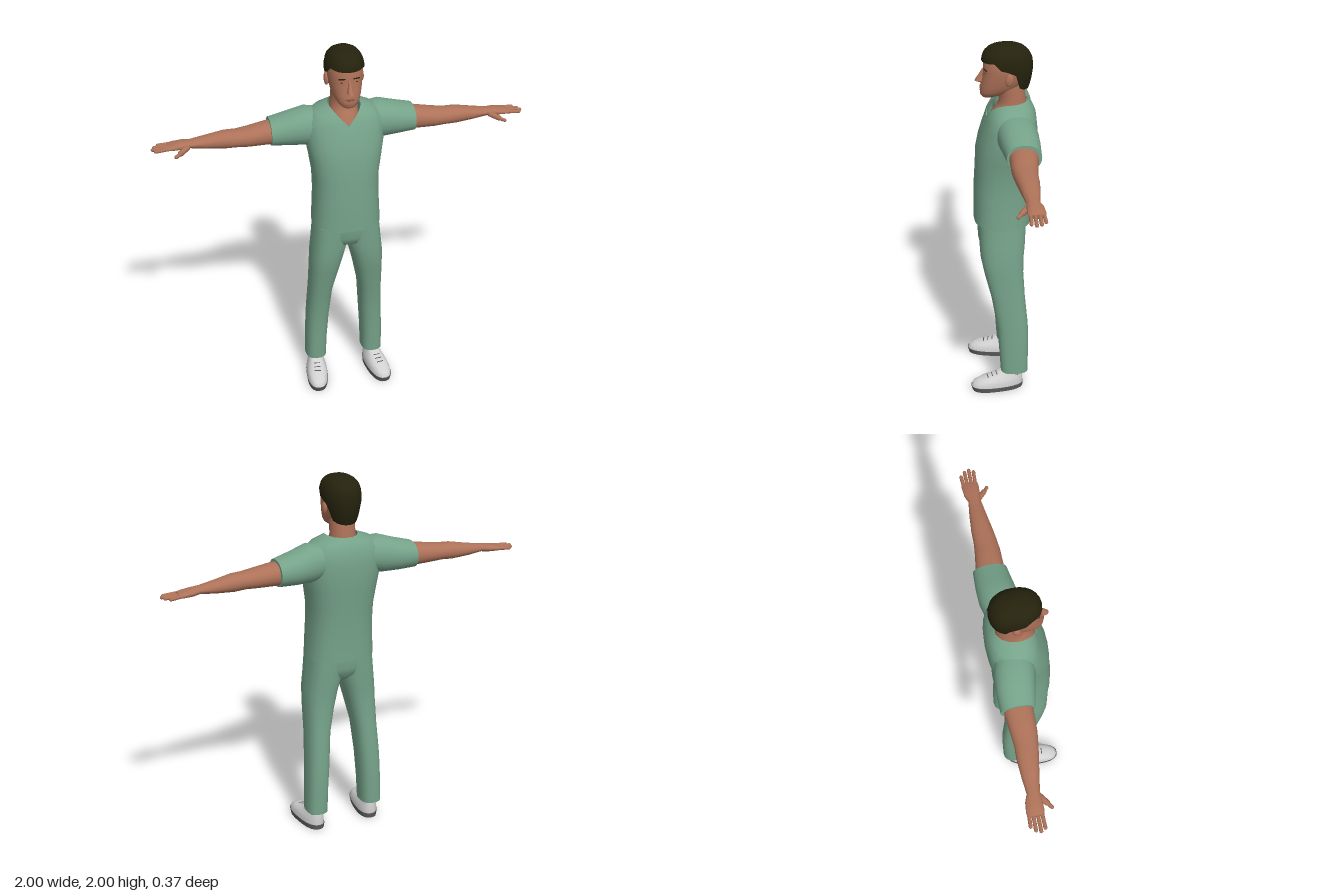
import * as THREE from 'three';
import { toCreasedNormals } from 'three/addons/utils/BufferGeometryUtils.js';

const SEG = 24;
const V = (x, y, z) => new THREE.Vector3(x, y, z);

function material(name, color, side = THREE.FrontSide) {
  const m = new THREE.MeshStandardMaterial({ color, side });
  m.name = name;
  return m;
}

// Skin a list of closed rings, with optional end caps
function loft(rings, capStart = true, capEnd = true) {
  const n = rings[0].length, pos = [], idx = [];
  rings.forEach(r => r.forEach(p => pos.push(p.x, p.y, p.z)));
  for (let k = 0; k < rings.length - 1; k++) {
    for (let i = 0; i < n; i++) {
      const a = k * n + i, b = k * n + (i + 1) % n;
      idx.push(a, a + n, b, b, a + n, b + n);
    }
  }
  const cap = (k, flip) => {
    const c = V(0, 0, 0);
    rings[k].forEach(p => c.addScaledVector(p, 1 / n));
    const centre = pos.length / 3;
    pos.push(c.x, c.y, c.z);
    for (let i = 0; i < n; i++) {
      const a = k * n + i, b = k * n + (i + 1) % n;
      if (flip) idx.push(centre, a, b); else idx.push(centre, b, a);
    }
  };
  if (capStart) cap(0, true);
  if (capEnd) cap(rings.length - 1, false);
  const g = new THREE.BufferGeometry();
  g.setAttribute('position', new THREE.Float32BufferAttribute(pos, 3));
  g.setIndex(idx);
  return toCreasedNormals(g, 0.75);
}

// Rounded-square unit outline
function outline(n, fn) {
  const f = v => Math.sign(v) * Math.pow(Math.abs(v), 2 / n);
  return Array.from({ length: SEG }, (_, i) => {
    const a = (i / SEG) * Math.PI * 2;
    return fn(f(Math.cos(a)), f(Math.sin(a)));
  });
}

// Horizontal ring; dip lowers the front into a V
const level = (y, x0, x1, zf, zb, n = 2.4, dip = 0) => outline(n, (c, s) =>
  V((x0 + x1) / 2 + c * (x1 - x0) / 2, y - (s > 0 ? dip * (1 - Math.abs(c)) : 0), (zf + zb) / 2 + s * (zf - zb) / 2));
const centred = ([y, rx, zf, zb, n, dip]) => level(y, -rx, rx, zf, zb, n, dip);
// Upright ring for parts running along x
const across = ([x, y, ry, z, rz]) => outline(2.2, (c, s) => V(x, y + s * ry, z + c * rz));

// Linear lookup in rows of [key, values...]
function lookup(rows, key, col = 1) {
  for (let i = 1; i < rows.length; i++) {
    const a = rows[i - 1], b = rows[i];
    if (key <= b[0]) return THREE.MathUtils.mapLinear(Math.max(key, a[0]), a[0], b[0], a[col], b[col]);
  }
  return rows[rows.length - 1][col];
}

export function createModel() {
  const model = new THREE.Group();
  model.name = 'standingPerson';
  const cloth = material('green cloth', 0x76a38a, THREE.DoubleSide);
  const skin = material('skin', 0xae7259);
  const lip = material('lips', 0x8f5646);
  const hair = material('dark hair', 0x25220d, THREE.DoubleSide);
  const shoe = material('shoe white', 0xd2d2d2);
  const sole = material('sole grey', 0x5c5c5c);

  const add = (parent, name, geometry, mat) => {
    const m = new THREE.Mesh(geometry, mat);
    m.name = name;
    parent.add(m);
    return m;
  };
  const ball = (parent, name, mat, p, s) => {
    const m = add(parent, name, new THREE.SphereGeometry(1, 14, 10), mat);
    m.position.set(...p);
    m.scale.set(...s);
    return m;
  };
  const finger = (parent, name, a, b, r) => {
    const d = b.clone().sub(a);
    const m = add(parent, name, new THREE.CapsuleGeometry(r, d.length(), 4, 8), skin);
    m.position.copy(a).addScaledVector(d, 0.5);
    m.quaternion.setFromUnitVectors(V(0, 1, 0), d.normalize());
  };

  // Shirt body with V neck
  add(model, 'shirt', loft([
    [1.01, .183, .15, -.155, 2.6], [1.1, .178, .15, -.155, 2.6], [1.2, .173, .148, -.16, 2.6],
    [1.3, .175, .142, -.167, 2.6], [1.4, .19, .138, -.178, 2.6], [1.48, .205, .122, -.185, 2.5],
    [1.56, .208, .098, -.185, 2.5], [1.62, .2, .084, -.178, 2.4, .03],
    [1.662, .16, .079, -.16, 2.2, .062], [1.69, .085, .073, -.135, 2, .09],
  ].map(centred), true, false), cloth);

  // Seat of the trousers
  add(model, 'trouserSeat', loft([
    [.87, .05, .05, -.07], [.91, .13, .112, -.113], [.95, .178, .126, -.122], [1.03, .174, .13, -.125],
  ].map(centred)), cloth);

  // Neck and upper chest
  add(model, 'neck', loft([
    [1.58, .085, .07, -.12, 2], [1.62, .08, .056, -.125, 2], [1.66, .073, .027, -.13, 2],
    [1.69, .068, .012, -.128, 2], [1.73, .066, .02, -.122, 2], [1.79, .066, .04, -.115, 2],
  ].map(centred)), skin);

  // Head
  const head = new THREE.Group();
  head.name = 'head';
  model.add(head);
  add(head, 'face', loft([
    [1.715, .03, .1, .035], [1.728, .048, .109, 0], [1.75, .064, .111, -.05], [1.78, .076, .107, -.1],
    [1.82, .085, .099, -.125], [1.86, .09, .094, -.135], [1.9, .09, .094, -.135],
    [1.94, .08, .08, -.12], [1.975, .05, .04, -.09],
  ].map(r => centred([...r, 2.3]))), skin);
  add(head, 'nose', loft([
    [1.793, .012, .118, .085, 2], [1.8, .018, .137, .085, 2], [1.815, .014, .13, .085, 2],
    [1.84, .009, .113, .08, 2], [1.865, .008, .099, .08, 2],
  ].map(centred)), skin);
  ball(head, 'mouth', lip, [0, 1.765, .105], [.026, .007, .008]);
  for (const s of [-1, 1]) {
    ball(head, 'eye', hair, [s * .035, 1.853, .083], [.013, .004, .005]).rotation.y = s * .3;
    const brow = add(head, 'eyebrow', new THREE.BoxGeometry(.036, .006, .008), hair);
    brow.position.set(s * .037, 1.872, .083);
    brow.rotation.set(0, s * .35, -s * .08);
    ball(head, 'ear', skin, [s * .092, 1.832, -.035], [.013, .035, .021]).rotation.x = -.15;
  }

  // Hair: a shell whose lower edge follows the hairline
  const hairline = [[-1, 1.757], [-.55, 1.77], [-.36, 1.85], [-.1, 1.877], [.06, 1.875], [.2, 1.86], [.36, 1.905], [.5, 1.92], [1, 1.912]];
  const shell = [
    [1.75, .07, .09, -.135], [1.8, .086, .1, -.152], [1.87, .099, .102, -.163], [1.92, .1, .103, -.16],
    [1.955, .09, .092, -.142], [1.98, .07, .065, -.115], [1.993, .042, .025, -.085], [2, .001, -.035, -.037],
  ];
  const hairRings = [0, .12, .25, .4, .55, .7, .8, .9, .96, 1].map(t => outline(2.2, (c, s) => {
    const edge = lookup(hairline, s), y = edge + (2 - edge) * t;
    const zf = lookup(shell, y, 2), zb = lookup(shell, y, 3);
    return V(c * lookup(shell, y, 1), y, (zf + zb) / 2 + s * (zf - zb) / 2);
  }));
  add(head, 'hair', loft(hairRings, false, true), hair);

  // Limbs, built on the left and mirrored
  for (const s of [1, -1]) {
    const side = new THREE.Group();
    side.name = s > 0 ? 'leftLimbs' : 'rightLimbs';
    side.scale.x = s;
    model.add(side);

    add(side, 'sleeve', loft([
      [.1, 1.57, .085, -.06, .09], [.2, 1.563, .1, -.07, .105],
      [.29, 1.55, .085, -.08, .098], [.385, 1.54, .07, -.087, .088],
    ].map(across)), cloth);
    add(side, 'arm', loft([
      [.32, 1.538, .06, -.085, .073], [.4, 1.536, .059, -.084, .073], [.5, 1.528, .05, -.079, .066],
      [.56, 1.525, .044, -.08, .06], [.62, 1.523, .045, -.085, .056], [.72, 1.517, .032, -.09, .044],
      [.8, 1.515, .02, -.092, .033], [.84, 1.512, .02, -.098, .042], [.89, 1.508, .016, -.1, .045],
      [.915, 1.506, .011, -.1, .042],
    ].map(across)), skin);

    // Fingers from little to index
    [[-.136, .96], [-.114, .982], [-.09, .991], [-.067, .978]].forEach(([z, tip]) =>
      finger(side, 'finger', V(.89, 1.508, z * .9 - .01), V(tip, 1.502, z), .0095));
    finger(side, 'thumb', V(.815, 1.505, -.068), V(.855, 1.493, -.035), .015);
    finger(side, 'thumbTip', V(.85, 1.493, -.038), V(.88, 1.486, -.015), .01);

    add(side, 'trouserLeg', loft([
      [.11, .105, .22, .015, -.135], [.25, .1, .218, .024, -.137], [.4, .09, .212, .034, -.135],
      [.58, .075, .203, .065, -.118], [.72, .045, .2, .1, -.11], [.82, .02, .197, .12, -.112],
      [.9, 0, .188, .125, -.12], [1.02, 0, .176, .13, -.125],
    ].map(r => level(...r, 2.6))), cloth);
    add(side, 'ankle', loft([[.07, .13, .2, -.01, -.1], [.14, .13, .2, -.01, -.1]].map(r => level(...r, 2))), skin);

    // Shoe, toes turned slightly out
    const foot = new THREE.Group();
    foot.name = 'shoe';
    foot.position.x = .17;
    foot.rotation.y = .13;
    side.add(foot);
    add(foot, 'shoeSole', loft([[0, .056, .176, -.106, 2.5], [.028, .06, .185, -.11, 2.5]].map(centred)), sole);
    add(foot, 'shoeUpper', loft([
      [.028, .058, .181, -.107], [.05, .057, .172, -.107], [.066, .052, .14, -.106],
      [.08, .045, .09, -.105], [.095, .039, .045, -.103], [.108, .035, .02, -.1],
    ].map(centred)), shoe);
    for (let i = 0; i < 3; i++) {
      const lace = add(foot, 'lace', new THREE.BoxGeometry(.036, .004, .005), sole);
      lace.position.set(0, .079 + i * .008, .091 - i * .025);
      lace.rotation.x = .32;
    }
  }
  return model;
}
